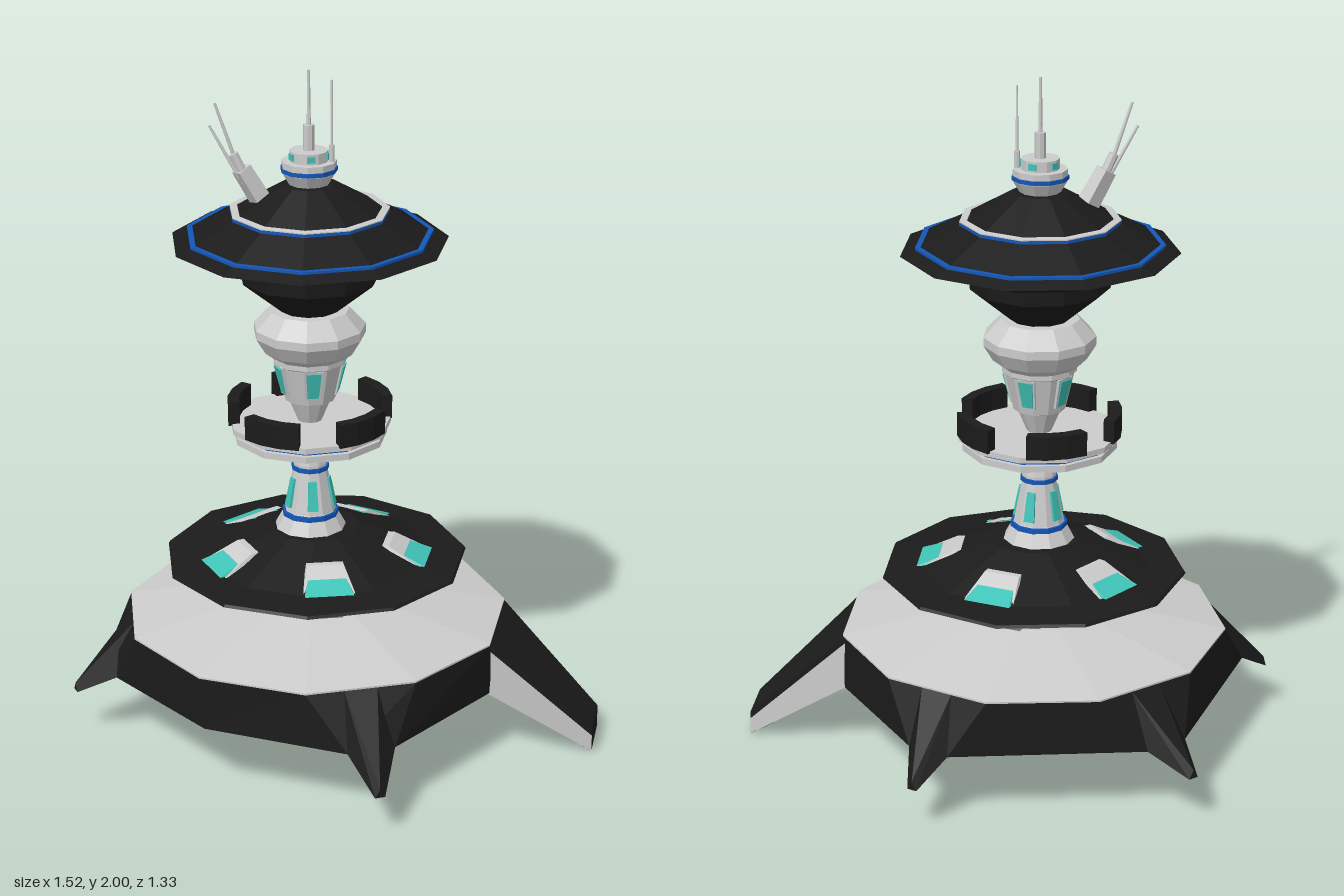
import * as THREE from 'three';
import { ConvexGeometry } from 'three/addons/geometries/ConvexGeometry.js';

const SIDES = 11;
const mat = (color) => new THREE.MeshStandardMaterial({ color, flatShading: true });
const V = (x, y, z) => new THREE.Vector3(x, y, z);

export function createModel() {
  const model = new THREE.Group();
  const grey = mat(0xcccccc), dark = mat(0x1b1b1b), teal = mat(0x40c4b8), blue = mat(0x1457b8);

  const base = new THREE.Group();
  base.name = 'base';
  base.position.set(-0.072, 0, -0.016);
  const tower = new THREE.Group();
  tower.name = 'tower';
  tower.position.set(-0.087, 0, -0.013);
  model.add(base, tower);

  const add = (parent, name, geometry, material) => {
    const mesh = new THREE.Mesh(geometry, material);
    mesh.name = name;
    parent.add(mesh);
    return mesh;
  };
  // Faceted solid of revolution with a flat side towards +x; profile runs bottom to top
  const turned = (parent, name, material, profile, sides = SIDES) => add(parent, name,
    new THREE.LatheGeometry(profile.map(([r, y]) => new THREE.Vector2(r, y)), sides, -Math.PI / 2), material);
  const band = (parent, name, material, r, y0, y1) =>
    turned(parent, name, material, [[0, y0], [r, y0], [r, y1], [0, y1]]);

  // Trapezoid plate on a sloping wall: lower and upper edges are [radius, y, half width]
  const plate = (parent, name, material, angle, lower, upper, depth) => {
    const pts = [];
    for (const [r, y, w] of [lower, upper])
      for (const s of [-w, w]) pts.push(V(r, y, s), V(r - depth, y, s));
    add(parent, name, new ConvexGeometry(pts), material).rotation.y = -angle;
  };
  const fiveTimes = (fn) => { for (let i = 0; i < 5; i++) fn(i * Math.PI * 0.4); };
  const framedWindow = (parent, angle, lower, upper, rim = 0.008, depth = 0.02) => {
    const grow = ([r, y, w], dy) => [r - 0.003, y + dy, w + rim];
    plate(parent, 'windowFrame', grey, angle, grow(lower, -rim), grow(upper, rim), depth);
    plate(parent, 'windowPane', teal, angle, lower, upper, depth);
  };

  // Base skirt: regular rim above, stretched foot outline below
  const foot = [[0.465, -0.19], [0.227, -0.543], [0.113, -0.6], [-0.44, -0.51], [-0.54, -0.42], [-0.687, 0.13],
    [-0.62, 0.235], [-0.293, 0.498], [0.133, 0.572], [0.256, 0.506], [0.473, 0.125]].map(([x, z]) => V(x, 0.205, z));
  const rim = foot.map((_, i) => {
    const a = (i + 0.5) * 2 * Math.PI / SIDES;
    return V(-0.072 + 0.565 * Math.cos(a), 0.362, -0.016 - 0.565 * Math.sin(a));
  });
  const wall = [], floor = [];
  foot.forEach((b, i) => {
    const j = (i + 1) % SIDES;
    wall.push(b, foot[j], rim[j], b, rim[j], rim[i]);
    floor.push(V(-0.08, 0.205, -0.01), foot[j], b);
  });
  const triangles = (pts) => {
    const g = new THREE.BufferGeometry().setFromPoints(pts);
    g.computeVertexNormals();
    return g;
  };
  add(model, 'baseSkirt', triangles(wall), dark);
  add(model, 'baseUnderside', triangles(floor), grey);
  turned(base, 'baseDeck', grey, [[0.565, 0.362], [0.565, 0.367], [0.22, 0.432], [0, 0.432]]);

  // Four small claw feet: [first foot corner, tip x, tip y, tip z]
  for (const [i, x, y, z] of [[1, 0.205, 0.13, -0.66], [3, -0.57, 0.145, -0.54], [5, -0.75, 0.145, 0.222], [8, 0.24, 0.125, 0.655]]) {
    const a = foot[i], b = foot[i + 1];
    const along = b.clone().sub(a).normalize().multiplyScalar(0.015);
    const tip = V(x, y, z);
    const top = [0.35, 0.65].map((t) => rim[i].clone().lerp(rim[i + 1], t));
    add(model, 'clawFoot', new ConvexGeometry([a, b, ...top, tip.clone().add(along), tip.clone().sub(along),
      tip.clone().add(V(0, 0.025, 0))]), dark);
  }

  // Long ramp leg with pale side panels
  const edges = [[0.462, -0.185, 0.765, -0.112, -1], [0.462, 0.13, 0.765, 0.045, 1]];
  add(model, 'rampLeg', new ConvexGeometry(edges.flatMap(([x0, z0, x1, z1]) =>
    [V(x0, 0.365, z0), V(x0, 0.205, z0), V(x1, 0.07, z1), V(x1, 0, z1)])), dark);
  for (const [x0, z0, x1, z1, s] of edges)
    add(model, 'rampSidePanel', new ConvexGeometry([-0.004, 0.003].flatMap((d) =>
      [V(x0, 0.345, z0 + s * d), V(x0, 0.205, z0 + s * d), V(x1, 0.05, z1 + s * d), V(x1, 0.002, z1 + s * d)])), grey);

  // Lower dish with five windows that fold over its brim
  turned(base, 'lowerDish', dark, [[0.2, 0.425], [0.335, 0.53], [0.445, 0.537], [0.44, 0.545], [0.335, 0.555], [0.13, 0.635], [0, 0.635]]);
  fiveTimes((a) => {
    framedWindow(base, a, [0.335, 0.556, 0.07], [0.23, 0.597, 0.045]);
    framedWindow(base, a, [0.215, 0.435, 0.043], [0.335, 0.528, 0.07]);
  });

  // Neck
  turned(tower, 'neck', grey, [[0.105, 0.633], [0.085, 0.67], [0.074, 0.69], [0.05, 0.815], [0.05, 0.835], [0.03, 0.93]]);
  band(tower, 'neckLowerBand', blue, 0.083, 0.673, 0.688);
  band(tower, 'neckUpperBand', blue, 0.055, 0.815, 0.828);
  fiveTimes((a) => plate(tower, 'neckWindow', teal, a, [0.075, 0.705, 0.016], [0.058, 0.79, 0.012], 0.015));

  // Round platform with five parapet walls
  band(tower, 'platformBase', grey, 0.224, 0.918, 0.937);
  band(tower, 'platformBand', blue, 0.21, 0.937, 0.952);
  band(tower, 'platformDeck', grey, 0.235, 0.95, 0.967);
  fiveTimes((a) => {
    const shape = new THREE.Shape();
    const start = a + 0.25, span = 0.4 * Math.PI - 0.5;
    const arc = [0, 1, 2, 3].map((k) => start + span * k / 3);
    const ring = [...arc.map((t) => [0.238, t]), ...arc.reverse().map((t) => [0.205, t])];
    shape.setFromPoints(ring.map(([r, t]) => new THREE.Vector2(r * Math.cos(t), r * Math.sin(t))));
    const g = new THREE.ExtrudeGeometry(shape, { depth: 0.07, bevelEnabled: false });
    add(tower, 'parapet', g.rotateX(Math.PI / 2).translate(0, 1.032, 0), dark);
  });

  // Upper column and collar
  turned(tower, 'upperColumn', grey, [[0.035, 0.965], [0.062, 1.03], [0.075, 1.035], [0.1, 1.145], [0.108, 1.15], [0.108, 1.165],
    [0.135, 1.185], [0.162, 1.23], [0.162, 1.255], [0.115, 1.305], [0, 1.305]]);
  fiveTimes((a) => framedWindow(tower, a, [0.084, 1.06, 0.016], [0.104, 1.14, 0.022], 0.006, 0.015));

  // Upper saucer and its trim
  turned(tower, 'saucer', dark, [[0, 1.3], [0.085, 1.305], [0.2, 1.4], [0.205, 1.45], [0.245, 1.455], [0.375, 1.5], [0.397, 1.507],
    [0.35, 1.525], [0.225, 1.59], [0.078, 1.675], [0, 1.68]]);
  band(tower, 'saucerLowerTrim', blue, 0.354, 1.521, 1.531);
  band(tower, 'saucerUpperTrim', blue, 0.229, 1.585, 1.597);
  turned(tower, 'saucerTrimTop', grey, [[0.229, 1.597], [0.229, 1.6], [0.208, 1.602], [0.2, 1.59]]);

  // Cap and central antennas
  turned(tower, 'cap', grey, [[0.055, 1.67], [0.078, 1.71], [0.078, 1.742], [0, 1.742]]);
  band(tower, 'capBand', blue, 0.081, 1.712, 1.724);
  band(tower, 'capCrown', grey, 0.055, 1.742, 1.772);
  fiveTimes((a) => plate(tower, 'capWindow', teal, a, [0.057, 1.748, 0.012], [0.057, 1.766, 0.012], 0.01));

  // Straight rod between two points
  const rod = (name, from, to, r0, r1, sides = 8) => {
    const dir = to.clone().sub(from);
    const mesh = add(tower, name, new THREE.CylinderGeometry(r1, r0, dir.length(), sides), grey);
    mesh.position.copy(from).addScaledVector(dir, 0.5);
    mesh.quaternion.setFromUnitVectors(V(0, 1, 0), dir.normalize());
  };
  rod('antennaSocket', V(0, 1.77, 0), V(0, 1.845, 0), 0.016, 0.016);
  rod('antenna', V(0, 1.84, 0), V(0, 2, 0), 0.006, 0.004);
  rod('sideAntennaSocket', V(0.065, 1.74, 0), V(0.065, 1.79, 0), 0.008, 0.008);
  rod('sideAntenna', V(0.065, 1.78, 0), V(0.065, 1.975, 0), 0.004, 0.003);

  // Leaning twin antenna on the saucer
  rod('mastBlock', V(-0.125, 1.62, 0.035), V(-0.18, 1.725, 0.06), 0.033, 0.03, 4);
  rod('mastSocket', V(-0.165, 1.69, 0.06), V(-0.2, 1.77, 0.07), 0.016, 0.014);
  rod('mastAntenna', V(-0.195, 1.75, 0.065), V(-0.248, 1.915, 0.083), 0.006, 0.004);
  rod('mastAntenna', V(-0.185, 1.7, 0.065), V(-0.265, 1.85, 0.08), 0.006, 0.004);

  return model;
}
